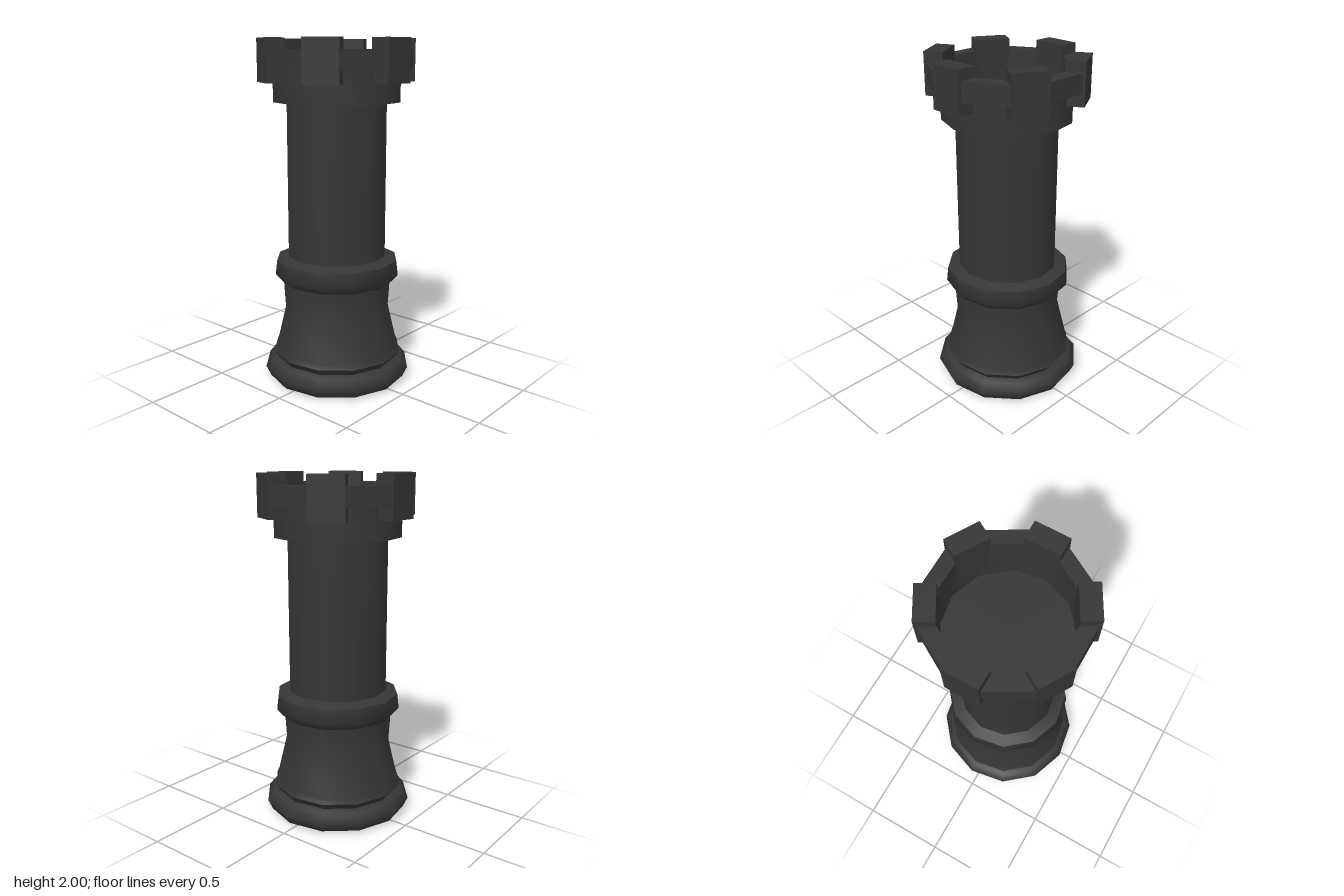
import * as THREE from 'three';
import { toCreasedNormals } from 'three/addons/utils/BufferGeometryUtils.js';

const SIDES = 12;
const PHASE = THREE.MathUtils.degToRad(25);

export function createModel() {
  const model = new THREE.Group();
  model.name = 'chessRook';
  const charcoal = new THREE.MeshStandardMaterial({ color: 0x363636 });
  charcoal.name = 'charcoal';

  // Turned part from [radius, height] points; a crease angle keeps sharp rims
  function turned(name, profile, crease) {
    const points = profile.map(([r, y]) => new THREE.Vector2(r, y));
    let geometry = new THREE.LatheGeometry(points, SIDES, PHASE);
    if (crease) geometry = toCreasedNormals(geometry, crease);
    const mesh = new THREE.Mesh(geometry, charcoal);
    mesh.name = name;
    model.add(mesh);
  }

  // Rounded foot
  turned('foot', [[0, 0.005], [0.37, 0.005], [0.41, 0.02], [0.437, 0.078], [0.4, 0.125], [0.34, 0.137]]);

  // Flared pedestal with a bevelled lower edge
  turned('pedestalBevel', [[0.355, 0.13], [0.385, 0.172]]);
  turned('pedestal', [[0.385, 0.172], [0.372, 0.2], [0.312, 0.45], [0.322, 0.61]]);

  // Ring around the waist
  turned('waistRing', [[0.31, 0.605], [0.33, 0.605], [0.37, 0.65], [0.36, 0.735], [0.285, 0.757]], 1.1);

  // Tower shaft
  turned('shaft', [[0.29, 0.75], [0.29, 1.655]]);

  // Hollow cup under the battlements
  turned('cup', [[0.28, 1.65], [0.366, 1.65], [0.368, 1.9], [0.35, 1.9], [0.347, 1.66], [0, 1.66]], 0.8);

  // Box placed on a ring, from an inner to an outer distance
  function ringBlock(name, angle, inner, outer, width, bottom, top) {
    const geometry = new THREE.BoxGeometry(outer - inner, top - bottom, width);
    geometry.translate((inner + outer) / 2, (bottom + top) / 2, 0);
    const mesh = new THREE.Mesh(geometry, charcoal);
    mesh.name = name;
    mesh.rotation.y = angle;
    model.add(mesh);
  }

  // Six tall merlons with lower parapets between them
  for (let i = 0; i < 6; i++) {
    const angle = (i * Math.PI) / 3;
    ringBlock('merlon', angle + Math.PI / 6, 0.329, 0.437, 0.198, 1.76, 2);
    ringBlock('parapet', angle, 0.333, 0.415, 0.25, 1.83, 1.94);
  }
  return model;
}
